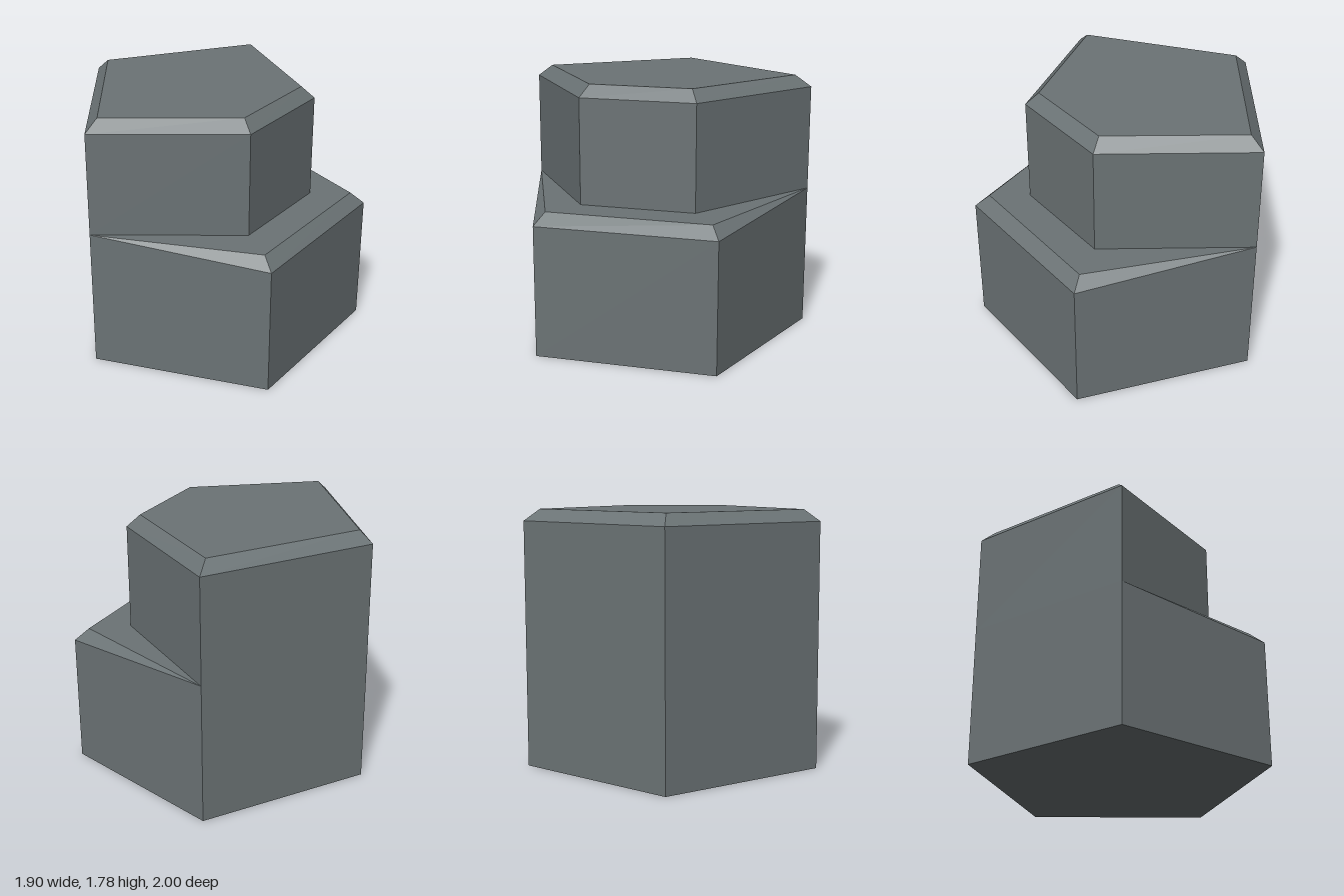
import * as THREE from 'three';

// Corner order for every ring: left tip, front, front-right, back-right, back
// (counter-clockwise seen from above). Each corner is [x, y, z].
const ring = (y, points) => points.map(([x, z, own]) => [x, own ?? y, z]);

const tip = [-0.95, 0], backRight = [0.95, -0.62], back = [-0.22, -1];

const base = ring(0, [tip, [-0.22, 1], [0.95, 0.62], backRight, back]);
const shoulder = ring(0.98, [tip, [-0.22, 1, 0.9], [0.95, 0.62, 0.9], backRight, back]);
const ledge = ring(0.98, [tip, [-0.195, 0.9], [0.87, 0.56], backRight, back]);
const foot = ring(0.98, [tip, [-0.11, 0.63], [0.64, 0.39], backRight, back]);
const rim = ring(1.7, [tip, [-0.11, 0.63], [0.64, 0.39], backRight, back]);
const crown = ring(1.78, [[-0.84, -0.02], [-0.09, 0.54], [0.57, 0.33], [0.85, -0.57], [-0.195, -0.91]]);

// Joins rings from bottom to top with flat faces, dropping collapsed triangles
function loft(rings, { bottom = false, top = false }) {
  const positions = [];
  const same = (a, b) => a.every((v, i) => v === b[i]);
  const tri = (a, b, c) => {
    if (!same(a, b) && !same(b, c) && !same(a, c)) positions.push(...a, ...b, ...c);
  };
  for (let r = 0; r < rings.length - 1; r++) {
    const lo = rings[r], hi = rings[r + 1];
    for (let i = 0; i < lo.length; i++) {
      const j = (i + 1) % lo.length;
      tri(lo[i], lo[j], hi[j]);
      tri(lo[i], hi[j], hi[i]);
    }
  }
  const first = rings[0], last = rings[rings.length - 1];
  for (let i = 1; i < first.length - 1; i++) {
    if (bottom) tri(first[0], first[i + 1], first[i]);
    if (top) tri(last[0], last[i], last[i + 1]);
  }
  const geometry = new THREE.BufferGeometry();
  geometry.setAttribute('position', new THREE.Float32BufferAttribute(positions, 3));
  geometry.computeVertexNormals();
  return geometry;
}

export function createModel() {
  const stone = new THREE.MeshStandardMaterial({ color: 0x6b7375 });
  stone.name = 'slateGrey';
  const group = new THREE.Group();
  group.name = 'steppedRockColumn';

  const add = (name, geometry) => {
    const mesh = new THREE.Mesh(geometry, stone);
    mesh.name = name;
    group.add(mesh);
  };

  // Wide pentagonal block with a bevelled front ledge
  add('lowerBlock', loft([base, shoulder, ledge, foot], { bottom: true }));
  // Set-back block with a bevelled top
  add('upperBlock', loft([foot, rim, crown], { top: true }));

  return group;
}
